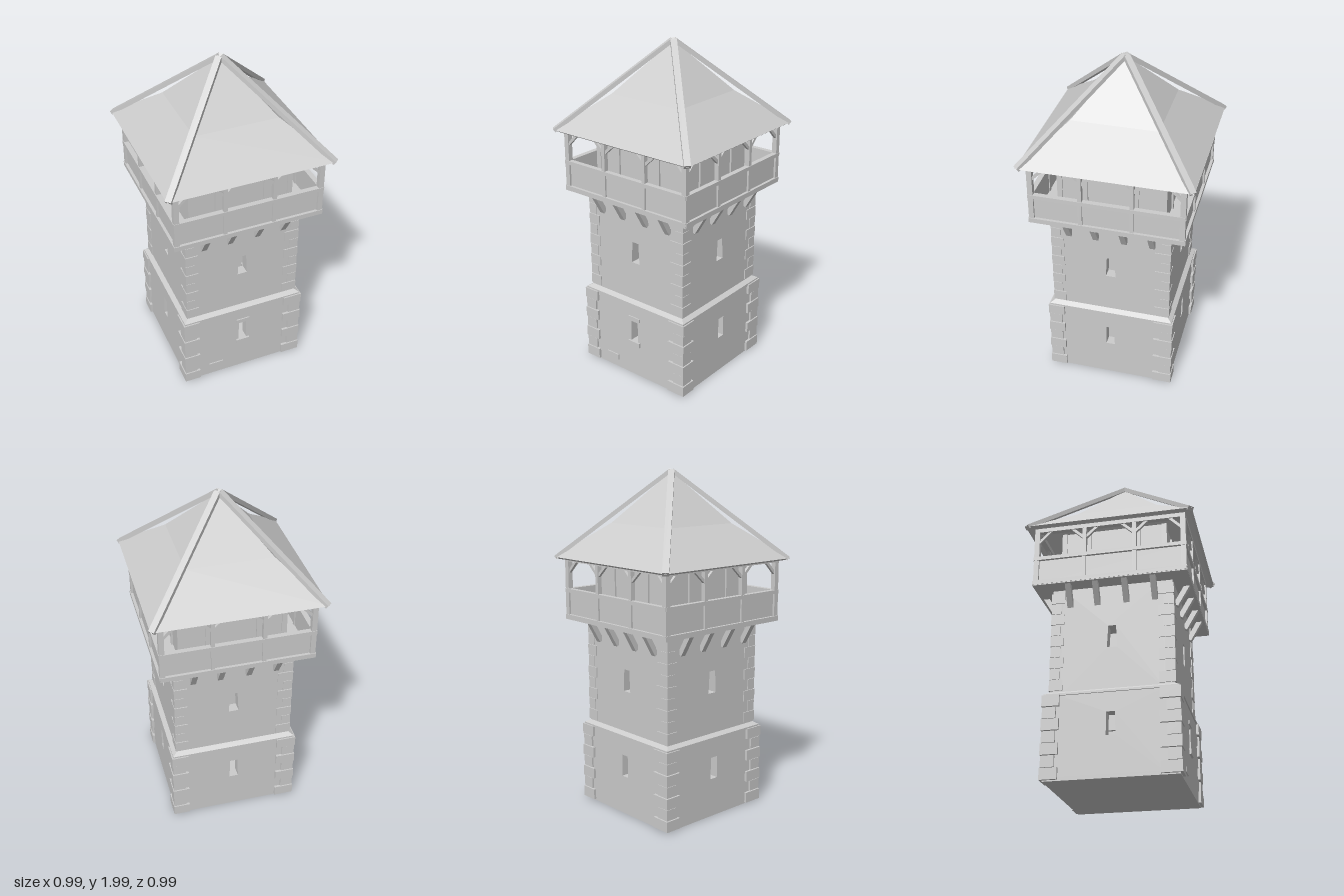
import * as THREE from 'three';

const stone = new THREE.MeshStandardMaterial({ color: 0xcccccc, flatShading: true, side: THREE.DoubleSide });
stone.name = 'pale grey';

function add(parent, name, geometry, x = 0, y = 0, z = 0) {
  const mesh = new THREE.Mesh(geometry, stone);
  mesh.name = name;
  mesh.position.set(x, y, z);
  parent.add(mesh);
  return mesh;
}

const box = (parent, name, w, h, d, x, y, z) =>
  add(parent, name, new THREE.BoxGeometry(w, h, d), x, y, z);

// Straight timber from point a to point b
function beam(parent, name, a, b, w, h) {
  const from = new THREE.Vector3(...a), to = new THREE.Vector3(...b);
  const mesh = new THREE.Mesh(new THREE.BoxGeometry(w, h, from.distanceTo(to)), stone);
  mesh.name = name;
  mesh.position.copy(from).add(to).multiplyScalar(0.5);
  mesh.lookAt(to);
  parent.add(mesh);
}

// Wall facing +z with one tapered window slit
function wall(parent, name, half, width, y0, y1, slit, thick) {
  const shape = new THREE.Shape();
  shape.moveTo(-width, y0);
  shape.lineTo(width, y0);
  shape.lineTo(width, y1);
  shape.lineTo(-width, y1);
  shape.closePath();
  const hole = new THREE.Path();
  hole.moveTo(-slit.bottom, slit.y0);
  hole.lineTo(-slit.top, slit.y1);
  hole.lineTo(slit.top, slit.y1);
  hole.lineTo(slit.bottom, slit.y0);
  hole.closePath();
  shape.holes.push(hole);
  const geometry = new THREE.ExtrudeGeometry(shape, { depth: thick, bevelEnabled: false });
  add(parent, name, geometry, 0, 0, half - thick);
}

// Square profile turned through four sides
function squareLathe(points) {
  const profile = points.map(([half, y]) => new THREE.Vector2(half * Math.SQRT2, y));
  return new THREE.LatheGeometry(profile, 4, Math.PI / 4);
}

// Corner stones of one corner, long arms alternating between the two faces
function quoins(parent, name, half, out, y0, y1, count, long, short) {
  const step = (y1 - y0) / count;
  for (let i = 0; i < count; i++) {
    const even = i % 2 === 0;
    const wx = even ? long : short, wz = even ? long * 0.85 : short;
    const o = half + out * (even ? 1 : 0.75);
    box(parent, name, wx, step * 0.94, wz, o - wx / 2, y0 + step * (i + 0.5), o - wz / 2);
  }
}

export function createModel() {
  const tower = new THREE.Group();
  tower.name = 'watchtower';

  // Base slab and sloped ledge between the storeys
  box(tower, 'baseSlab', 0.73, 0.02, 0.73, 0, 0.01, 0);
  add(tower, 'ledge', squareLathe([[0.31, 0.47], [0.372, 0.47], [0.372, 0.482], [0.343, 0.5]]));

  // Gallery floor
  box(tower, 'galleryFloor', 0.885, 0.025, 0.885, 0, 1.13, 0);

  for (let k = 0; k < 4; k++) {
    const side = new THREE.Group();
    side.name = 'side' + (k + 1);
    side.rotation.y = k * Math.PI / 2;
    tower.add(side);
    const cut = k % 2 ? 0.06 : 0;

    // Stone storeys
    wall(side, 'lowerWall', 0.365, 0.365 - cut, 0, 0.48,
      { bottom: 0.026, top: 0.024, y0: 0.23, y1: 0.36 }, 0.06);
    wall(side, 'upperWall', 0.345, 0.345 - cut, 0.48, 1.12,
      { bottom: 0.029, top: 0.022, y0: 0.74, y1: 0.87 }, 0.06);
    quoins(side, 'lowerQuoin', 0.365, 0.015, 0.005, 0.475, 7, 0.115, 0.075);
    quoins(side, 'upperQuoin', 0.345, 0.006, 0.505, 1.1, 9, 0.09, 0.055);

    // Sloping brackets under the gallery
    for (const x of [-0.24, -0.083, 0.083, 0.245])
      beam(side, 'bracket', [x, 1.005, 0.345], [x, 1.125, 0.415], 0.032, 0.03);

    // Parapet
    box(side, 'sillBeam', 0.88, 0.025, 0.025, 0, 1.135, 0.432);
    box(side, 'parapetPanel', 0.85, 0.15, 0.012, 0, 1.21, 0.422);
    box(side, 'handrail', 0.88, 0.022, 0.03, 0, 1.29, 0.428);
    box(side, 'headBeam', 0.88, 0.025, 0.03, 0, 1.475, 0.425);

    // Posts and their braces
    box(side, 'cornerPost', 0.03, 0.35, 0.03, 0.425, 1.3, 0.425);
    beam(side, 'postBrace', [0.415, 1.4, 0.425], [0.345, 1.47, 0.425], 0.016, 0.016);
    beam(side, 'postBrace', [-0.415, 1.4, 0.425], [-0.345, 1.47, 0.425], 0.016, 0.016);
    for (const x of [-0.145, 0.145]) {
      box(side, 'middlePost', 0.022, 0.35, 0.028, x, 1.3, 0.425);
      for (const s of [-1, 1])
        beam(side, 'postBrace', [x, 1.4, 0.425], [x + s * 0.075, 1.47, 0.425], 0.016, 0.016);
    }

    // Inner chamber
    box(side, 'chamberWall', 0.6, 0.37, 0.02, 0, 1.325, 0.295);
    box(side, 'chamberPost', 0.03, 0.37, 0.03, 0.297, 1.325, 0.297);
    for (const x of [-0.145, 0.145])
      box(side, 'chamberStud', 0.02, 0.35, 0.015, x, 1.315, 0.308);

    // Hip rafter cap
    beam(side, 'hipCap', [0.478, 1.483, 0.478], [0.004, 1.982, 0.004], 0.036, 0.024);
  }

  // Window dressing and a loose stone on the front
  box(tower, 'windowSill', 0.085, 0.03, 0.03, 0, 0.215, 0.362);
  box(tower, 'windowLintel', 0.085, 0.022, 0.02, 0, 0.383, 0.362);
  box(tower, 'faceStone', 0.09, 0.035, 0.02, -0.175, 0.068, 0.362);
  box(tower, 'windowBacking', 0.01, 0.16, 0.08, 0.3, 0.295, 0);

  // Roof with a slight sag halfway up
  add(tower, 'roof', squareLathe([
    [0.47, 1.475], [0.485, 1.485], [0.245, 1.685], [0.002, 1.975],
    [0.002, 1.95], [0.24, 1.668], [0.47, 1.475],
  ]));

  return tower;
}
